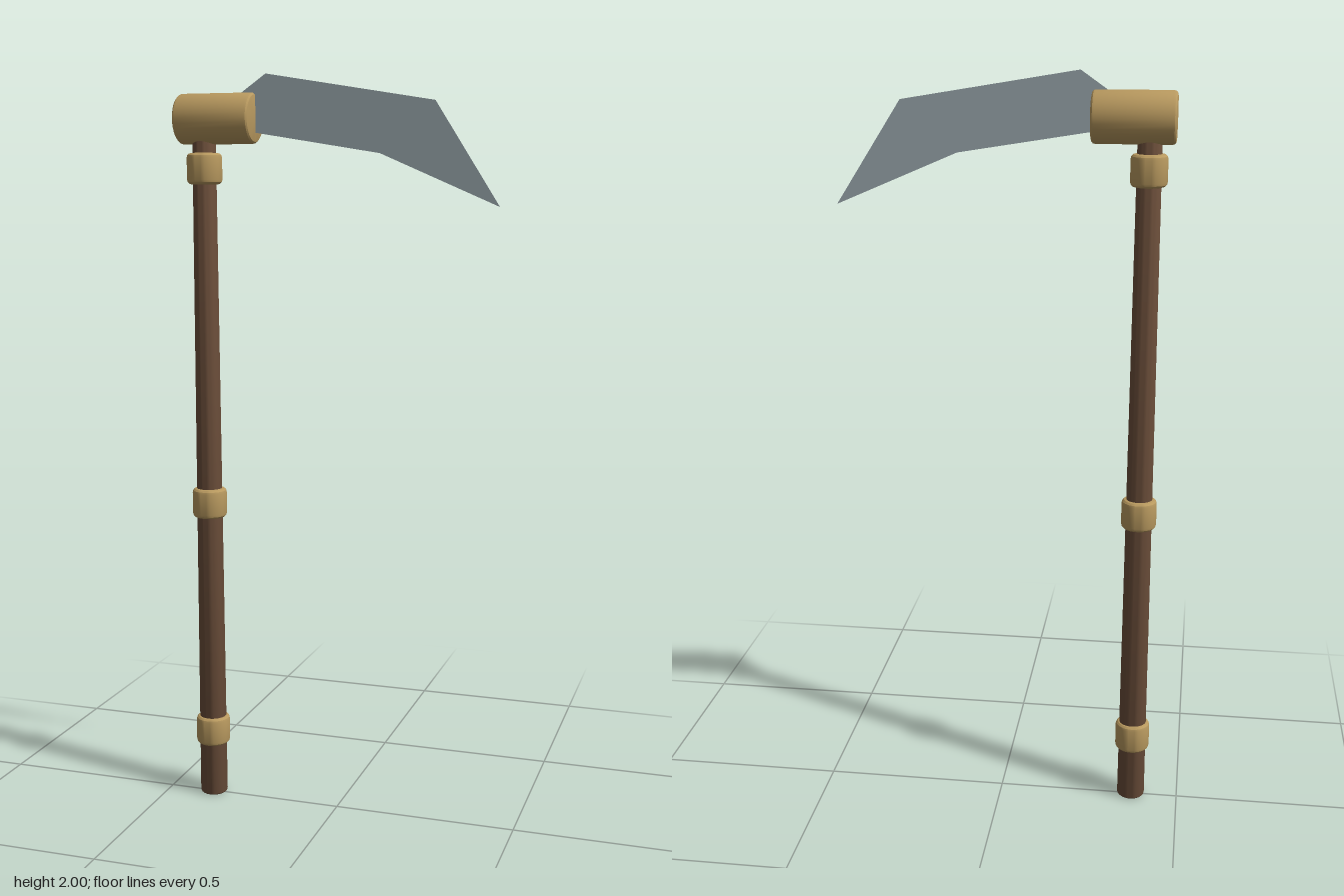
import * as THREE from 'three';
import { toCreasedNormals } from 'three/addons/utils/BufferGeometryUtils.js';

const wood = new THREE.MeshStandardMaterial({ color: 0x6b4e3a });
const brass = new THREE.MeshStandardMaterial({ color: 0xb8995f });
const steel = new THREE.MeshStandardMaterial({ color: 0x9aa7ad, side: THREE.DoubleSide });

const HANDLE_X = -0.37;

// Solid round bar centred on the origin, with softly rounded rims
function roundedBar(rBottom, rTop, height, bevel) {
  const h = height / 2;
  const points = [new THREE.Vector2(0, -h)];
  for (let i = 0; i <= 3; i++) {
    const a = (i / 3) * Math.PI / 2;
    points.push(new THREE.Vector2(rBottom - bevel + bevel * Math.sin(a), -h + bevel - bevel * Math.cos(a)));
  }
  for (let i = 0; i <= 3; i++) {
    const a = (i / 3) * Math.PI / 2;
    points.push(new THREE.Vector2(rTop - bevel + bevel * Math.cos(a), h - bevel + bevel * Math.sin(a)));
  }
  points.push(new THREE.Vector2(0, h));
  return toCreasedNormals(new THREE.LatheGeometry(points, 32), 0.5);
}

export function createModel() {
  const group = new THREE.Group();
  const add = (name, geometry, material, x, y) => {
    const mesh = new THREE.Mesh(geometry, material);
    mesh.name = name;
    mesh.position.set(x, y, 0);
    group.add(mesh);
    return mesh;
  };

  // Tapered wooden handle, ending inside the head
  add('handle', roundedBar(0.038, 0.031, 1.86, 0.008), wood, HANDLE_X, 0.93);

  // Bands around the handle
  ['lowerBand', 'middleBand', 'upperBand'].forEach((name, i) => {
    add(name, roundedBar(0.047, 0.047, 0.082, 0.012), brass, HANDLE_X, [0.19, 0.85, 1.758][i]);
  });

  // Cross-wise head that holds the blade
  add('head', roundedBar(0.066, 0.066, 0.212, 0.01), brass, -0.33, 1.887).rotation.z = -Math.PI / 2;

  // Thin flat blade
  const outline = [
    [-0.28, 1.941], [-0.28, 1.859], [-0.225, 1.85], [0.115, 1.795],
    [0.43, 1.66], [0.26, 1.925], [-0.195, 2.0],
  ].map(([x, y]) => new THREE.Vector2(x, y));
  add('blade', new THREE.ShapeGeometry(new THREE.Shape(outline)), steel, 0, 0);

  return group;
}
